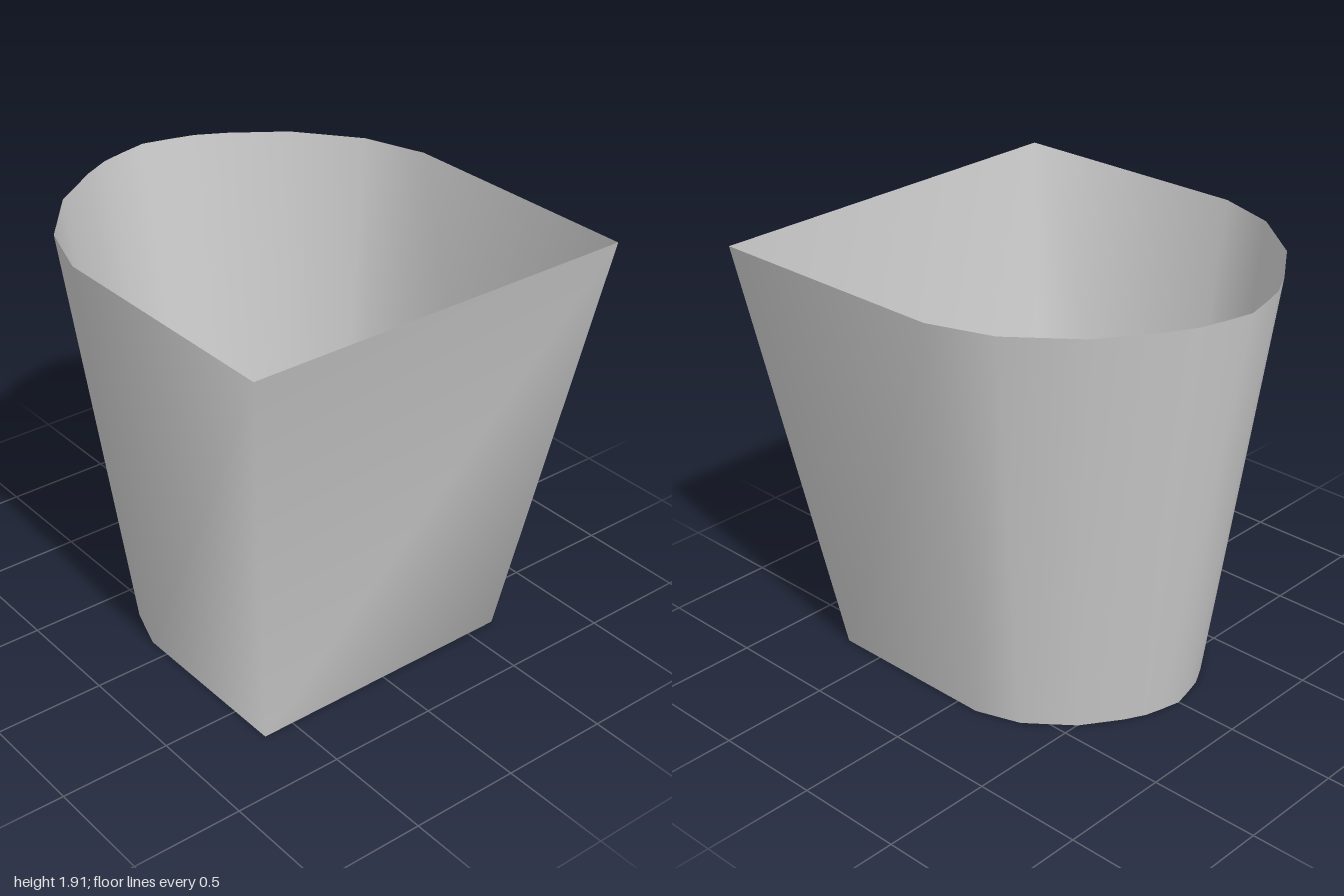
import * as THREE from 'three';

// Half of the rim outline (x, z), from the back centre round to the front corner
const HALF = [
  [0, -1], [0.13, -0.97], [0.24, -0.94], [0.37, -0.87],
  [0.6, -0.71], [0.815, -0.44], [0.91, -0.155], [0.91, 1],
];
const HEIGHT = 1.915;
const BASE_SCALE = 0.707;

// Open tapered wall, lofted between the base outline and the rim outline
function taperedWall() {
  const mirrored = HALF.slice(1).reverse().map(([x, z]) => [-x, z]);
  const outline = [...HALF, ...mirrored];
  const n = outline.length;
  const positions = [];
  const indices = [];
  for (const [scale, y] of [[BASE_SCALE, 0], [1, HEIGHT]]) {
    for (const [x, z] of outline) positions.push(x * scale, y, z * scale);
  }
  for (let i = 0; i < n; i++) {
    const j = (i + 1) % n;
    indices.push(i, i + n, j, j, i + n, j + n);
  }
  const geometry = new THREE.BufferGeometry();
  geometry.setAttribute('position', new THREE.Float32BufferAttribute(positions, 3));
  geometry.setIndex(indices);
  geometry.computeVertexNormals(); // shared vertices keep the wall smooth all round
  return geometry;
}

export function createModel() {
  const grey = new THREE.MeshStandardMaterial({ color: 0xcccccc, side: THREE.DoubleSide });
  grey.name = 'light grey';

  const wall = new THREE.Mesh(taperedWall(), grey);
  wall.name = 'taperedWall';

  const model = new THREE.Group();
  model.name = 'openTaperedSleeve';
  model.add(wall);
  return model;
}
